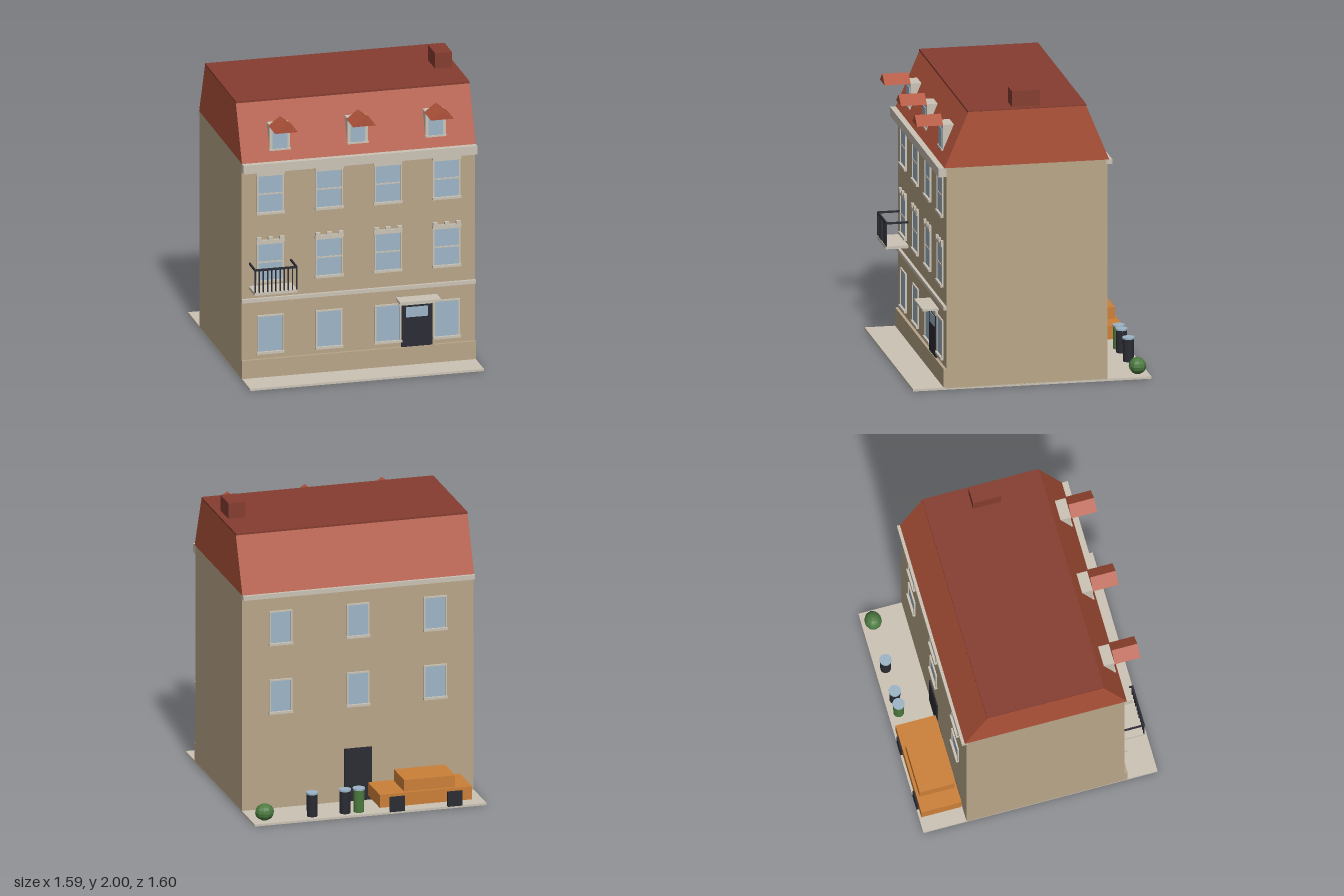
import * as THREE from 'three';

const mat = (name, color, extra) => Object.assign(new THREE.MeshStandardMaterial({ color }), { name }, extra);

export function createModel() {
  const root = new THREE.Group();
  root.name = 'townhouse';
  const wall = mat('wall', 0xb8a688), trim = mat('stone trim', 0xcbc3b5), tile = mat('roof tile', 0xb0533a);
  const brick = mat('dark brick', 0x863d30), glass = mat('glass', 0x9db5c7), dark = mat('dark metal', 0x2b2b34);
  const paint = mat('car paint', 0xcc8038), leaf = mat('green', 0x4c7a40, { flatShading: true });

  const add = (parent, name, geo, m) => {
    const mesh = new THREE.Mesh(geo, m);
    mesh.name = name;
    parent.add(mesh);
    return mesh;
  };
  // box given by its limits on each axis
  const box = (parent, name, m, x0, x1, y0, y1, z0, z1) => {
    const mesh = add(parent, name, new THREE.BoxGeometry(x1 - x0, y1 - y0, z1 - z0), m);
    mesh.position.set((x0 + x1) / 2, (y0 + y1) / 2, (z0 + z1) / 2);
    return mesh;
  };
  const group = (name, x = 0, y = 0, z = 0) => {
    const g = new THREE.Group();
    g.name = name;
    g.position.set(x, y, z);
    root.add(g);
    return g;
  };

  const W = 0.795, FRONT = 0.575, BACK = -0.505;

  // ground slab and main block
  box(root, 'pavement', trim, -W, W, 0, 0.015, -0.8, 0.8);
  box(root, 'mainBlock', wall, -W, W, 0.01, 1.51, BACK, FRONT);
  box(root, 'plinth', wall, -W, W, 0.015, 0.14, 0.5, 0.595);
  box(root, 'stringCourse', trim, -W, W, 0.54, 0.565, FRONT - 0.01, 0.595);
  box(root, 'frontCornice', trim, -W, W, 1.45, 1.51, FRONT - 0.01, 0.63);
  box(root, 'backCornice', trim, -W, W, 1.48, 1.511, -0.537, BACK + 0.01);

  // mansard roof: trapezoid section run along x
  const section = new THREE.Shape([[-0.59, 1.51], [0.517, 1.51], [0.362, 1.885], [-0.43, 1.885]]
    .map(([x, y]) => new THREE.Vector2(x, y)));
  const roof = new THREE.ExtrudeGeometry(section, { depth: 2 * W, bevelEnabled: false });
  roof.rotateY(Math.PI / 2).translate(-W, 0, 0);
  add(root, 'mansardRoof', roof, tile);
  box(root, 'roofCap', brick, -W, W, 1.88, 1.893, -0.365, 0.433);
  box(root, 'chimney', brick, 0.64, 0.755, 1.86, 2, -0.06, 0.13);

  // window facing +z; local origin is the middle of the sill top on the wall
  const windowUnit = (name, x, y, z, hw, h, { bar = false, crown = false } = {}) => {
    const g = group(name, x, y, z), b = 0.01;
    box(g, 'pane', glass, -hw, hw, 0, h, -0.004, 0.004);
    for (const s of [-1, 1]) {
      const e = s * (hw + b / 2);
      box(g, 'jamb', trim, e - b / 2, e + b / 2, 0, h + b, -0.004, 0.011);
    }
    box(g, 'head', trim, -hw, hw, h, h + b, -0.004, 0.011);
    box(g, 'sill', trim, -hw - 0.014, hw + 0.014, -0.016, 0, -0.004, 0.02);
    if (bar) box(g, 'glazingBar', trim, -hw, hw, h / 2 - 0.005, h / 2 + 0.005, 0, 0.008);
    if (crown) {
      box(g, 'lintel', trim, -hw - 0.014, hw + 0.014, h + b, h + 0.03, -0.004, 0.018);
      for (const k of [-1, 0, 1]) {
        const c = k * (hw - 0.005);
        box(g, 'crownBlock', trim, c - 0.016, c + 0.016, h + 0.03, h + 0.05, -0.004, 0.018);
      }
    }
    return g;
  };

  for (const x of [-0.6, -0.2, 0.2, 0.6]) {
    windowUnit('groundWindow', x, 0.19, FRONT, 0.08, 0.243);
    windowUnit('middleWindow', x, 0.686, FRONT, 0.083, 0.25, { bar: true, crown: true });
    windowUnit('upperWindow', x, 1.16, FRONT, 0.083, 0.25, { bar: true, crown: true });
  }
  for (const x of [-0.53, 0, 0.53])
    for (const y of [0.685, 1.16])
      windowUnit('backWindow', x, y, BACK, 0.068, 0.212).rotation.y = Math.PI;

  // entrance door with canopy, and the plain back door
  box(root, 'frontDoor', dark, 0.29, 0.5, 0.14, 0.43, FRONT - 0.01, 0.59);
  box(root, 'doorPane', glass, 0.32, 0.47, 0.345, 0.415, 0.588, 0.594);
  box(root, 'doorLintel', trim, 0.272, 0.518, 0.43, 0.46, FRONT - 0.01, 0.595);
  box(root, 'doorCanopy', trim, 0.255, 0.535, 0.47, 0.485, FRONT - 0.01, 0.685);
  box(root, 'backDoor', dark, -0.095, 0.095, 0.015, 0.38, -0.514, BACK + 0.01);

  // dormers with small gables projecting forward
  const gable = new THREE.Shape([[-0.078, 0], [0.078, 0], [0, 0.06]].map(([x, y]) => new THREE.Vector2(x, y)));
  for (const x of [-0.53, 0, 0.53]) {
    const g = group('dormer', x);
    box(g, 'dormerBox', trim, -0.07, 0.07, 1.58, 1.752, 0.45, 0.56);
    box(g, 'dormerPane', glass, -0.05, 0.05, 1.588, 1.72, 0.558, 0.565);
    box(g, 'dormerSill', trim, -0.073, 0.073, 1.576, 1.588, 0.54, 0.57);
    const roofMesh = add(g, 'dormerGable', new THREE.ExtrudeGeometry(gable, { depth: 0.175, bevelEnabled: false }), tile);
    roofMesh.position.set(0, 1.751, 0.56);
  }

  // balcony
  const balcony = group('balcony');
  const bx0 = -0.745, bx1 = -0.453;
  box(balcony, 'balconySlab', trim, bx0, bx1, 0.633, 0.652, FRONT - 0.01, 0.728);
  box(balcony, 'frontRail', dark, bx0, bx1, 0.802, 0.815, 0.716, 0.728);
  for (const x of [bx0, bx1 - 0.01])
    box(balcony, 'sideRail', dark, x, x + 0.01, 0.802, 0.815, FRONT, 0.72);
  for (let i = 0; i < 11; i++) {
    const x = bx0 + 0.005 + i * (bx1 - bx0 - 0.01) / 10;
    box(balcony, 'baluster', dark, x - 0.004, x + 0.004, 0.65, 0.804, 0.718, 0.726);
  }

  // parked car
  const car = group('car');
  box(car, 'carBody', paint, -0.7, -0.067, 0.045, 0.135, -0.787, -0.512);
  box(car, 'carCabin', paint, -0.59, -0.24, 0.135, 0.215, -0.768, -0.53);
  for (const x of [-0.58, -0.185])
    for (const z of [-0.8, -0.53])
      box(car, 'wheel', dark, x - 0.05, x + 0.05, 0.012, 0.115, z, z + 0.022);

  // waste bins with lids
  for (const [x, m] of [[0.06, leaf], [0.155, dark], [0.38, dark]]) {
    const g = group('bin', x, 0, -0.73);
    add(g, 'binBody', new THREE.CylinderGeometry(0.038, 0.036, 0.155, 12), m).position.y = 0.0925;
    add(g, 'binLid', new THREE.CylinderGeometry(0.041, 0.041, 0.012, 12), glass).position.y = 0.174;
  }

  // round shrub
  const shrub = add(root, 'shrub', new THREE.SphereGeometry(1, 10, 8), leaf);
  shrub.scale.set(0.065, 0.056, 0.058);
  shrub.position.set(0.705, 0.07, -0.725);

  return root;
}
